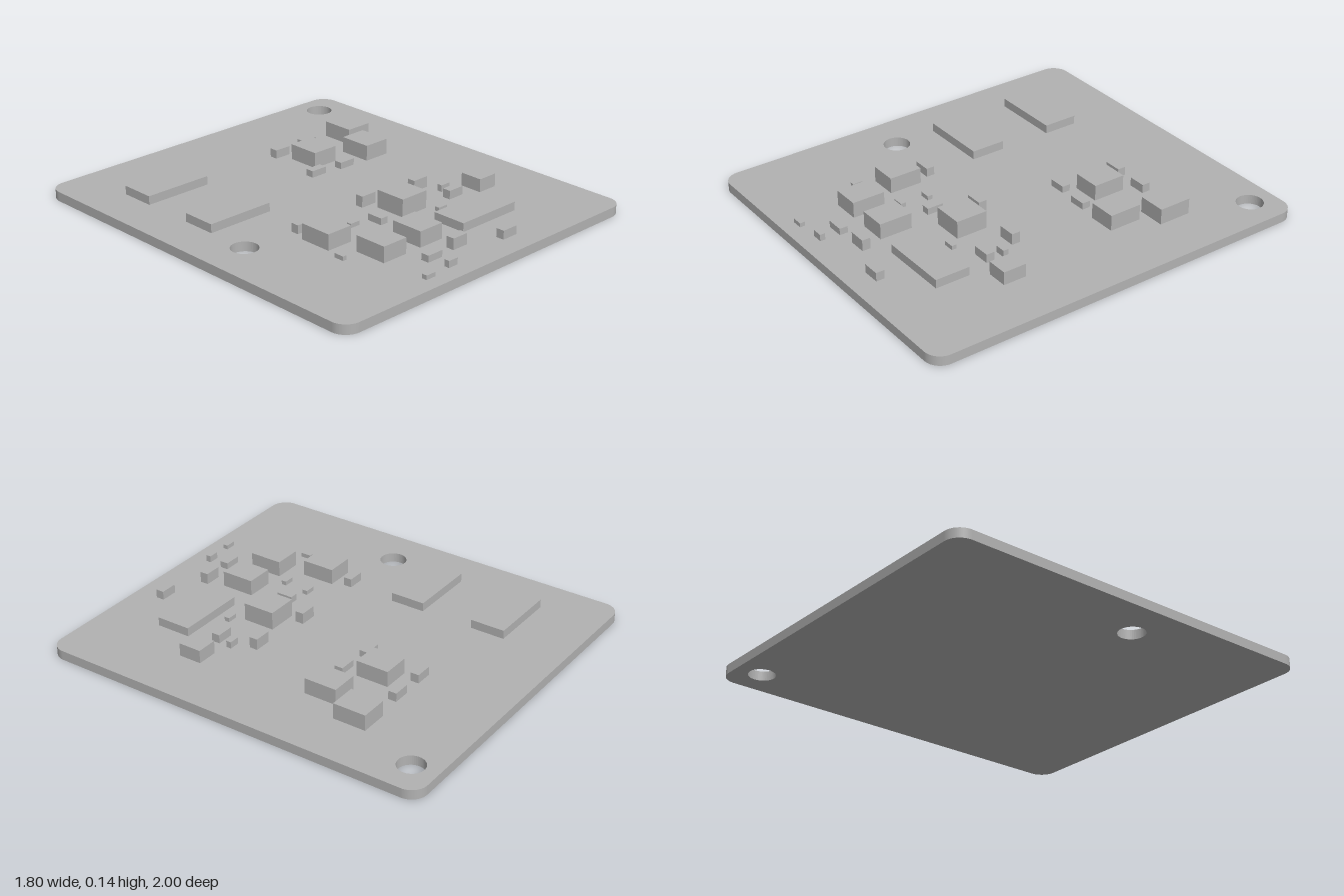
import * as THREE from 'three';

const BOARD_TOP = 0.047;

export function createModel() {
  const model = new THREE.Group();
  model.name = 'circuitBoard';
  const grey = new THREE.MeshStandardMaterial({ color: 0xb2b2b2 });
  grey.name = 'plain grey';

  // Board: rounded rectangle with two mounting holes
  const w = 0.9, d = 1, r = 0.08;
  const outline = new THREE.Shape();
  outline.absarc(w - r, d - r, r, 0, Math.PI / 2);
  outline.absarc(-w + r, d - r, r, Math.PI / 2, Math.PI);
  outline.absarc(-w + r, -d + r, r, Math.PI, Math.PI * 1.5);
  outline.absarc(w - r, -d + r, r, Math.PI * 1.5, Math.PI * 2);
  for (const [x, z] of [[0.738, -0.868], [-0.685, 0.153]]) {
    const hole = new THREE.Path();
    hole.absarc(x, -z, 0.065, 0, Math.PI * 2, true);
    outline.holes.push(hole);
  }
  const boardGeometry = new THREE.ExtrudeGeometry(outline, {
    depth: BOARD_TOP, bevelEnabled: false, curveSegments: 24,
  });
  boardGeometry.rotateX(-Math.PI / 2);
  const board = new THREE.Mesh(boardGeometry, grey);
  board.name = 'board';
  model.add(board);

  // Places equal boxes on the board; each spot is [x, z, top height]
  function addParts(name, width, depth, spots) {
    const group = new THREE.Group();
    group.name = name + 's';
    for (const [x, z, top] of spots) {
      const height = top - BOARD_TOP;
      const part = new THREE.Mesh(new THREE.BoxGeometry(width, height, depth), grey);
      part.name = name;
      part.position.set(x, BOARD_TOP + height / 2, z);
      group.add(part);
    }
    model.add(group);
  }

  // Long flat chips
  addParts('flatChip', 0.35, 0.175, [
    [-0.515, -0.592, 0.09], [-0.515, -0.152, 0.09], [0.297, 0.618, 0.09],
  ]);

  // Tall blocks
  addParts('tallBlock', 0.138, 0.166, [
    [0.236, -0.381, 0.125], [0.575, -0.491, 0.125], [0.484, -0.275, 0.125],
    [-0.376, 0.347, 0.125], [-0.293, 0.603, 0.125], [-0.066, 0.603, 0.125],
  ]);
  addParts('largeBlock', 0.156, 0.16, [[0.123, 0.326, 0.135]]);
  addParts('smallBlock', 0.106, 0.116, [[0.57, 0.397, 0.112]]);

  // Medium components
  addParts('capacitor', 0.087, 0.042, [
    [0.159, -0.54, 0.09], [0.339, -0.54, 0.09], [0.119, -0.239, 0.08],
    [0.291, -0.222, 0.08], [-0.378, 0.19, 0.09], [0.035, 0.18, 0.102],
    [0.342, 0.217, 0.102], [0.395, 0.394, 0.09], [-0.006, 0.782, 0.102],
    [-0.178, 0.794, 0.08], [0.233, 0.862, 0.09],
  ]);
  addParts('turnedCapacitor', 0.042, 0.083, [[-0.066, 0.358, 0.08]]);

  // Tiny components
  addParts('resistor', 0.054, 0.026, [
    [-0.324, 0.913, 0.068], [-0.17, 0.899, 0.08], [-0.18, 0.315, 0.068],
    [-0.196, 0.452, 0.068], [0.417, 0.315, 0.08], [0.236, 0.466, 0.068],
  ]);
  addParts('turnedResistor', 0.022, 0.052, [[-0.461, 0.523, 0.068]]);

  return model;
}
